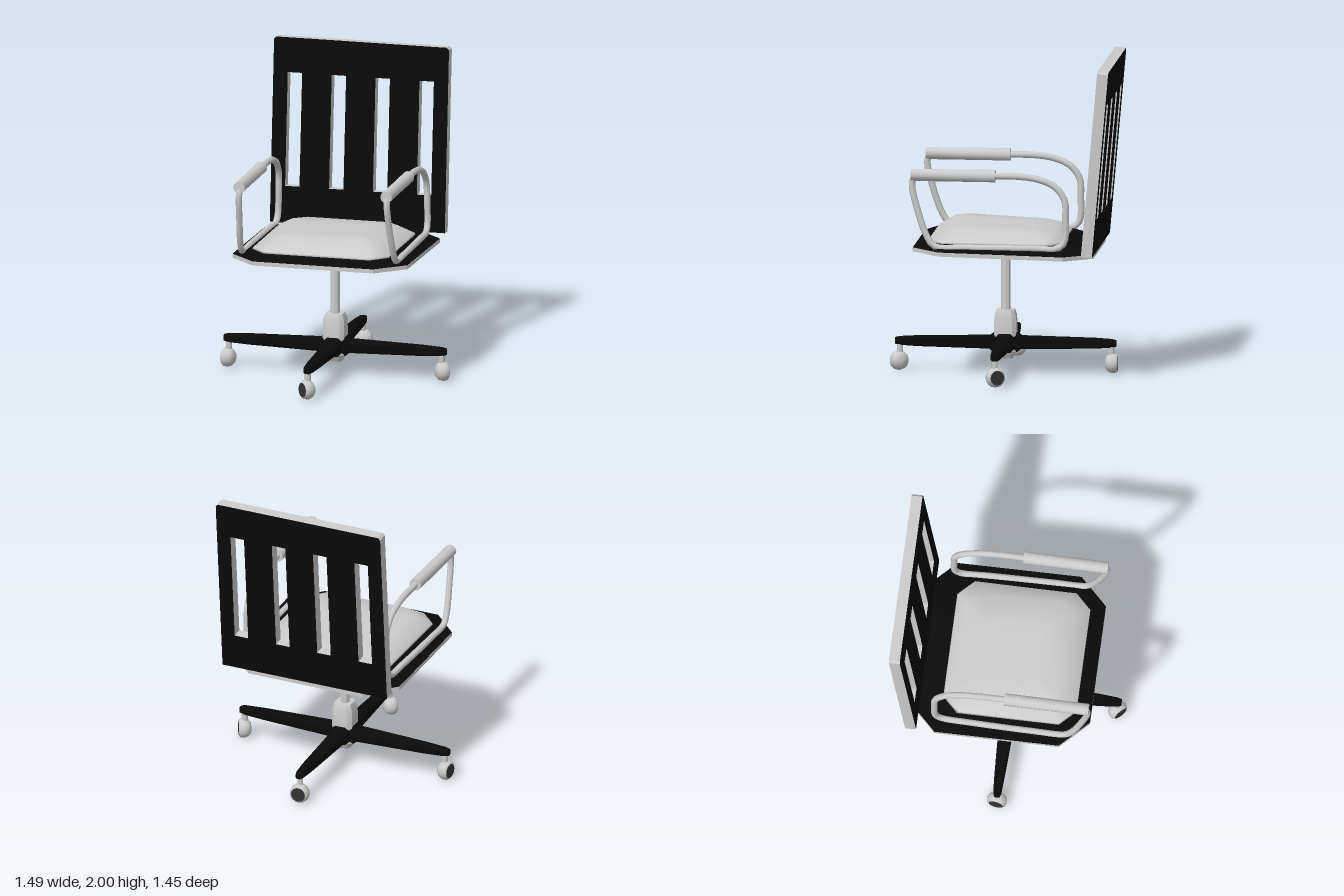
import * as THREE from 'three';
import { toCreasedNormals } from 'three/addons/utils/BufferGeometryUtils.js';

const CX = -0.016; // centre line of the chair
const grey = new THREE.MeshStandardMaterial({ color: 0xcccccc });
const greyFlat = new THREE.MeshStandardMaterial({ color: 0xcccccc, flatShading: true });
const black = new THREE.MeshStandardMaterial({ color: 0x0a0a0a });
const dark = new THREE.MeshStandardMaterial({ color: 0x333333 });

function add(parent, name, geometry, material) {
  const mesh = new THREE.Mesh(geometry, material);
  mesh.name = name;
  parent.add(mesh);
  return mesh;
}

// Octagonal loft along y; each ring is {y, hx, hz, cut, z: centre, slope: rise along z}
function loft(rings, smooth = false) {
  const pos = [], index = [];
  for (const { y, hx, hz, cut, z = 0, slope = 0 } of rings) {
    const a = hx - cut, b = hz - cut;
    for (const [px, pz] of [[a, hz], [hx, b], [hx, -b], [a, -hz], [-a, -hz], [-hx, -b], [-hx, b], [-a, hz]]) {
      pos.push(px, y + slope * (pz + z), pz + z);
    }
  }
  for (let r = 0; r < rings.length - 1; r++) {
    for (let i = 0; i < 8; i++) {
      const a = r * 8 + i, b = r * 8 + (i + 1) % 8;
      index.push(a, b, b + 8, a, b + 8, a + 8);
    }
  }
  const t = (rings.length - 1) * 8;
  for (let i = 1; i < 7; i++) index.push(0, i + 1, i, t, t + i, t + i + 1);
  const g = new THREE.BufferGeometry();
  g.setAttribute('position', new THREE.Float32BufferAttribute(pos, 3));
  g.setIndex(index);
  if (smooth) {
    g.computeVertexNormals();
    return g;
  }
  return toCreasedNormals(g, 0.35);
}

// Slatted backrest: a plate with four slots, dark faces and grey edges
function backrest() {
  const w = 0.571, h = 1.185, c = 0.015;
  const shape = new THREE.Shape();
  shape.moveTo(-w, 0);
  shape.lineTo(w, 0);
  shape.lineTo(w, h - c);
  shape.lineTo(w - c, h);
  shape.lineTo(-w + c, h);
  shape.lineTo(-w, h - c);
  shape.closePath();
  for (const x of [-0.43, -0.143, 0.143, 0.43]) {
    const hole = new THREE.Path();
    hole.moveTo(x - 0.047, 0.235);
    hole.lineTo(x - 0.047, 0.963);
    hole.lineTo(x + 0.047, 0.963);
    hole.lineTo(x + 0.047, 0.235);
    hole.closePath();
    shape.holes.push(hole);
  }
  const g = new THREE.ExtrudeGeometry(shape, { depth: 0.07, bevelEnabled: false });
  g.translate(0, 0, -0.07);
  return g;
}

// Loop-shaped armrest tube with a thicker grip
function armrest(side) {
  const arm = new THREE.Group();
  arm.name = side > 0 ? 'leftArmrest' : 'rightArmrest';
  const pts = [
    [0.48, 1.315, 0.0], [0.48, 1.315, 0.25], [0.48, 1.315, 0.52], [0.482, 1.27, 0.545], [0.49, 1.08, 0.505],
    [0.5, 0.92, 0.445], [0.502, 0.865, 0.4], [0.502, 0.858, 0.2], [0.496, 0.858, -0.2], [0.49, 0.86, -0.38],
    [0.488, 0.9, -0.42], [0.485, 1.05, -0.427], [0.482, 1.17, -0.42], [0.48, 1.25, -0.36], [0.48, 1.295, -0.26],
    [0.48, 1.313, -0.14],
  ].map(([x, y, z]) => new THREE.Vector3(x * side, y, z));
  const path = new THREE.CatmullRomCurve3(pts, true, 'centripetal');
  add(arm, 'armTube', new THREE.TubeGeometry(path, 72, 0.021, 8, true), grey);
  const grip = new THREE.CylinderGeometry(0.038, 0.04, 0.535, 12);
  grip.rotateX(Math.PI / 2);
  add(arm, 'armGrip', toCreasedNormals(grip, 0.8), grey).position.set(0.48 * side, 1.315, 0.285);
  return arm;
}

// Swivelling caster: short stem, rounded hood and a dark wheel face pointing to +z
function caster(yaw) {
  const group = new THREE.Group();
  group.name = 'caster';
  group.rotation.y = yaw;
  add(group, 'casterStem', new THREE.CylinderGeometry(0.02, 0.02, 0.08, 8), grey).position.y = 0.145;
  const profile = [[0, -0.042], [0.035, -0.038], [0.054, -0.022], [0.064, 0.005], [0.06, 0.03], [0.047, 0.04]]
    .map(([r, y]) => new THREE.Vector2(r, y));
  const hood = new THREE.LatheGeometry(profile, 14);
  hood.rotateX(Math.PI / 2);
  add(group, 'casterHood', hood, grey).position.y = 0.064;
  add(group, 'casterWheelFace', new THREE.CircleGeometry(0.047, 14), dark).position.set(0, 0.064, 0.04);
  return group;
}

export function createModel() {
  const model = new THREE.Group();
  model.name = 'officeChair';
  const chair = new THREE.Group();
  chair.name = 'chair';
  chair.position.x = CX;
  model.add(chair);

  const back = add(chair, 'backrest', backrest(), [black, grey]);
  back.position.set(0, 0.82, -0.533);
  back.rotation.x = -0.088;

  // Seat: grey slab, dark sloping rim, soft cushion
  const plan = { hx: 0.571, hz: 0.572, cut: 0.178, z: -0.022, slope: 0.026 };
  add(chair, 'seatSlab', loft([{ y: 0.8, ...plan }, { y: 0.825, ...plan }]), grey);
  add(chair, 'seatRim', loft([
    { y: 0.826, ...plan },
    { y: 0.868, hx: 0.45, hz: 0.43, cut: 0.08, z: 0.03, slope: 0.01 },
  ]), black);
  add(chair, 'seatCushion', loft([
    { y: 0.862, hx: 0.448, hz: 0.425, cut: 0.1, z: 0.035 },
    { y: 0.88, hx: 0.44, hz: 0.42, cut: 0.1, z: 0.035, slope: 0.01 },
    { y: 0.942, hx: 0.345, hz: 0.33, cut: 0.08, z: 0.01, slope: 0.053 },
    { y: 0.948, hx: 0.18, hz: 0.17, cut: 0.05, z: 0.01, slope: 0.053 },
  ], true), grey);

  chair.add(armrest(1), armrest(-1));

  // Gas column and flared seat mount
  add(chair, 'column', new THREE.CylinderGeometry(0.03, 0.03, 0.42, 8), greyFlat).position.y = 0.59;
  add(chair, 'seatMount', new THREE.CylinderGeometry(0.056, 0.03, 0.04, 8), greyFlat).position.y = 0.785;

  // Hub
  add(chair, 'hub', loft([
    [0.09, 0.045], [0.135, 0.07], [0.25, 0.07], [0.36, 0.068], [0.4, 0.055],
  ].map(([y, r]) => ({ y, hx: r, hz: r, cut: r * 0.35 }))), grey);

  // Four legs in a cross, each with a caster at its own swivel angle
  const legs = [
    ['frontLeg', 0, 0.7, -0.78], ['leftLeg', Math.PI / 2, 0.725, 0.52],
    ['backLeg', Math.PI, 0.7, 0.06], ['rightLeg', -Math.PI / 2, 0.725, -0.14],
  ];
  for (const [name, yaw, length, swivel] of legs) {
    const leg = new THREE.Group();
    leg.name = name;
    leg.rotation.y = yaw;
    const beam = loft([
      [0.02, 0.06, 0.06], [0.075, 0.06, 0.06], [0.1, 0.054, 0.039], [0.56, 0.034, 0.032],
      [length - 0.03, 0.026, 0.026], [length, 0.018, 0.02],
    ].map(([y, hx, hz]) => ({ y, hx, hz, cut: Math.min(hx, hz) * 0.4 })));
    beam.rotateX(Math.PI / 2);
    add(leg, 'legBeam', beam, black).position.y = 0.19;
    const wheel = caster(swivel);
    wheel.position.z = length - 0.03;
    leg.add(wheel);
    chair.add(leg);
  }
  return model;
}
